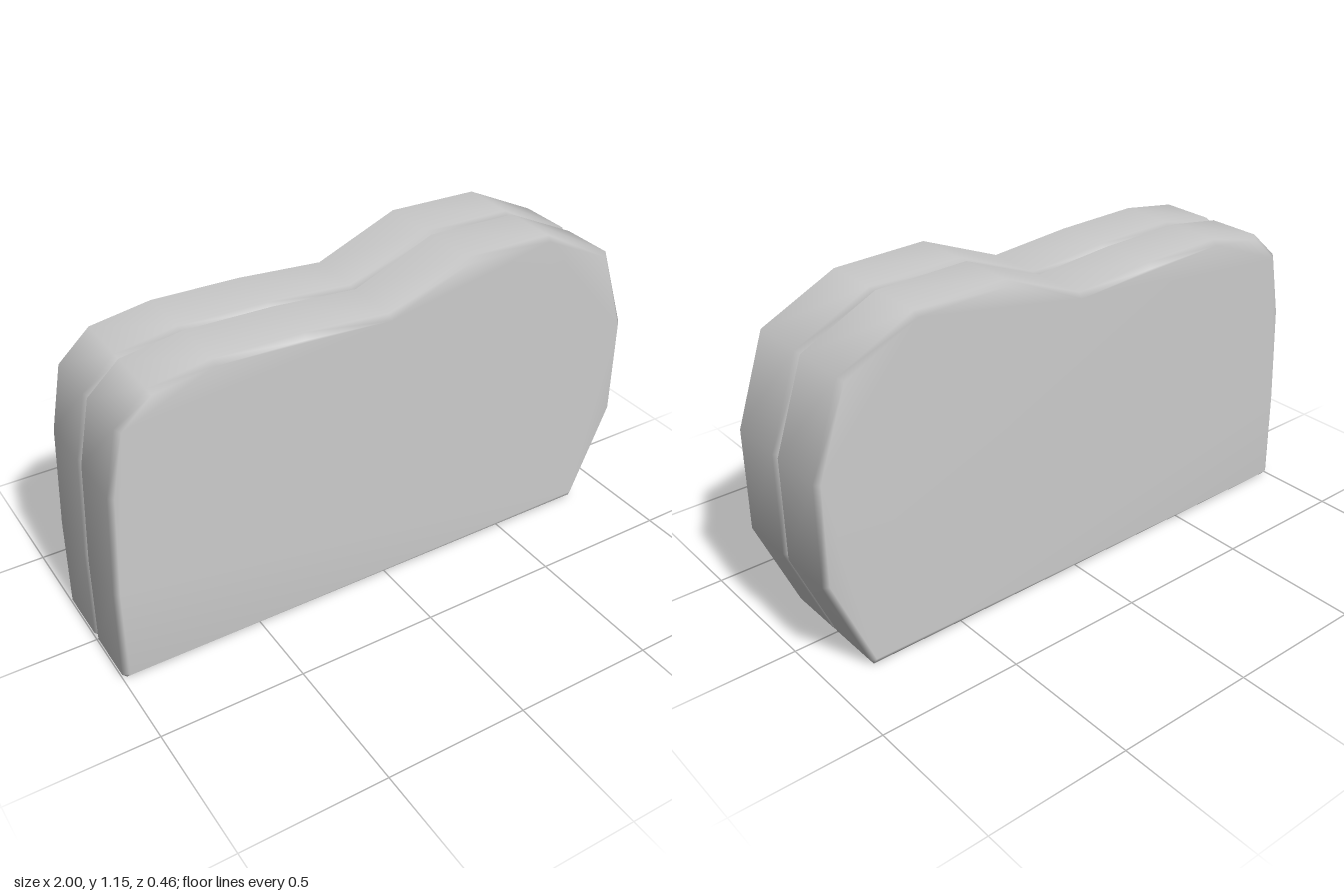
import * as THREE from 'three';
import { mergeVertices } from 'three/addons/utils/BufferGeometryUtils.js';

const HALF_DEPTH = 0.228;
const BEVEL = 0.017;

// Side outline, counter-clockwise from the bottom left corner
const OUTLINE = [
  [-0.984, 0], [0.841, 0], [0.853, 0.018], [0.997, 0.36], [0.997, 0.715],
  [0.893, 1.02], [0.628, 1.147], [0.295, 1.155], [0.002, 1.036], [-0.3, 1.06],
  [-0.61, 1.067], [-0.82, 1.035], [-0.93, 0.935], [-0.975, 0.71], [-0.995, 0.35],
  [-1, 0.016],
];

// One slab with chamfered rims and smooth, area-weighted normals
function slabGeometry() {
  const shape = new THREE.Shape(OUTLINE.map(([x, y]) => new THREE.Vector2(x, y)));
  const geometry = new THREE.ExtrudeGeometry(shape, {
    depth: HALF_DEPTH - 2 * BEVEL,
    bevelEnabled: true,
    bevelThickness: BEVEL,
    bevelSize: BEVEL,
    bevelOffset: -BEVEL,
    bevelSegments: 1,
  });
  geometry.translate(0, 0, BEVEL);
  geometry.deleteAttribute('uv');
  geometry.deleteAttribute('normal');
  const smooth = mergeVertices(geometry, 1e-4);
  smooth.computeVertexNormals();
  return smooth;
}

export function createModel() {
  const model = new THREE.Group();
  model.name = 'twoPartSlab';
  const material = new THREE.MeshStandardMaterial({ color: 0xcccccc });
  const geometry = slabGeometry();

  // Two equal slabs meet at z = 0; their chamfers form the groove
  [['frontSlab', 0], ['backSlab', -HALF_DEPTH]].forEach(([name, z]) => {
    const slab = new THREE.Mesh(geometry, material);
    slab.name = name;
    slab.position.z = z;
    model.add(slab);
  });
  return model;
}
